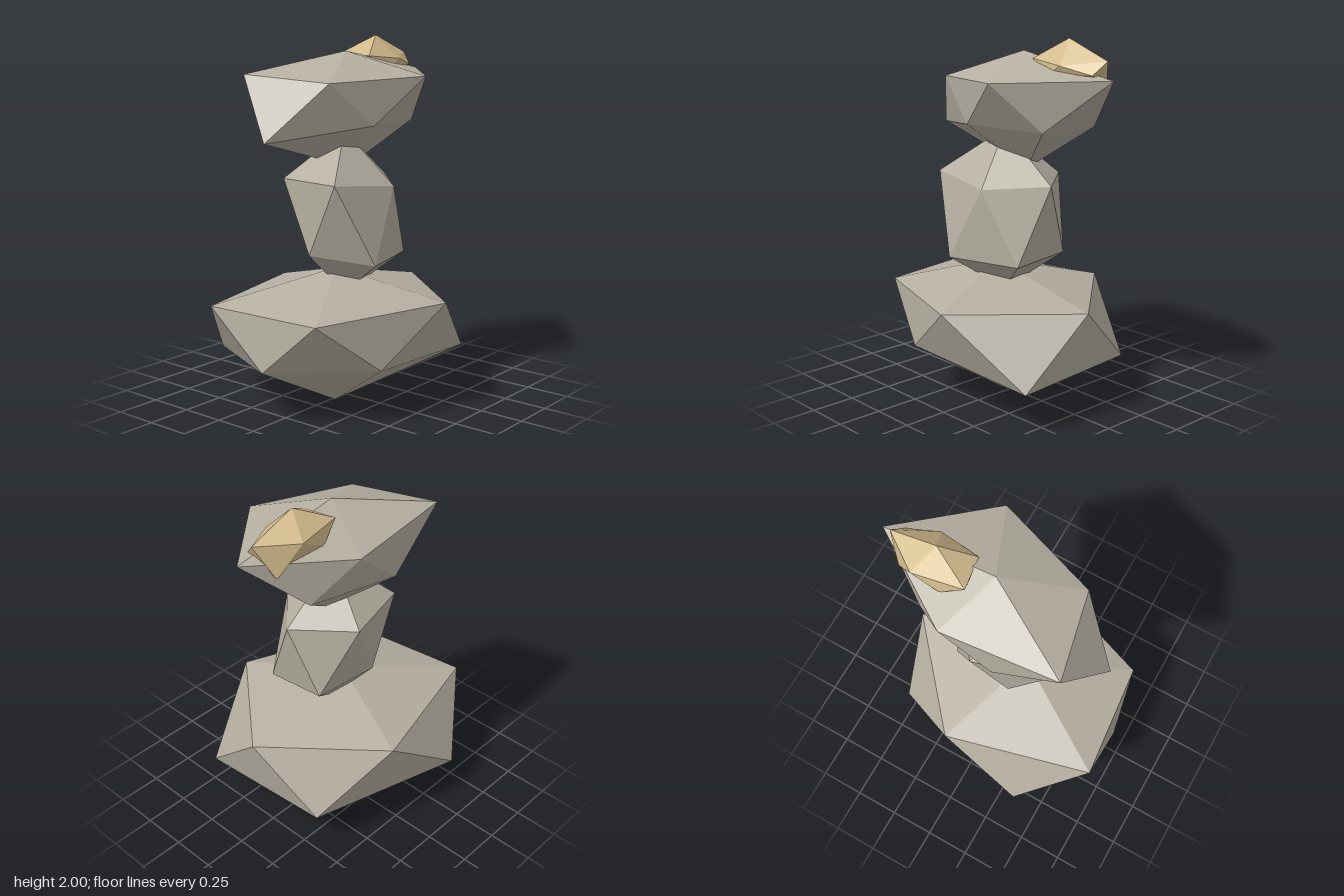
import * as THREE from 'three';

// Rough stone: a top point, two staggered rings of five corners, and a bottom point.
// Rings run from +x towards +z; each lower corner sits between two upper ones.
function stone(name, material, top, upper, lower, bottom) {
  const pos = [];
  const face = (...corners) => corners.forEach((c) => pos.push(...c));
  for (let i = 0; i < 5; i++) {
    const j = (i + 1) % 5;
    face(top, upper[j], upper[i]);
    face(upper[i], upper[j], lower[i]);
    face(lower[i], upper[j], lower[j]);
    face(bottom, lower[i], lower[j]);
  }
  const geometry = new THREE.BufferGeometry();
  geometry.setAttribute('position', new THREE.Float32BufferAttribute(pos, 3));
  geometry.computeVertexNormals();
  const mesh = new THREE.Mesh(geometry, material);
  mesh.name = name;
  return mesh;
}

export function createModel() {
  const group = new THREE.Group();
  group.name = 'stackedStones';

  const grey = new THREE.MeshStandardMaterial({ color: 0xb5afa1, flatShading: true });
  grey.name = 'warm grey stone';
  const sand = new THREE.MeshStandardMaterial({ color: 0xd2bb8c, flatShading: true });
  sand.name = 'sandy stone';

  // Wide base stone
  group.add(stone('baseStone', grey,
    [-0.10, 0.755, 0.02],
    [[0.61, 0.60, 0.02], [0.115, 0.605, 0.60], [-0.64, 0.585, 0.33], [-0.705, 0.60, -0.34], [0.115, 0.60, -0.555]],
    [[0.555, 0.24, 0.415], [-0.28, 0.30, 0.47], [-0.70, 0.30, 0.02], [-0.36, 0.25, -0.605], [0.51, 0.25, -0.36]],
    [-0.11, 0, 0.02]));

  // Upright middle stone
  group.add(stone('middleStone', grey,
    [-0.03, 1.50, 0.02],
    [[0.33, 1.23, 0.02], [0.07, 1.21, 0.28], [-0.35, 1.25, 0.215], [-0.30, 1.25, -0.18], [0.09, 1.235, -0.275]],
    [[0.27, 0.81, 0.205], [-0.145, 0.81, 0.325], [-0.325, 0.855, 0.02], [-0.10, 0.86, -0.205], [0.26, 0.835, -0.145]],
    [-0.03, 0.60, 0.02]));

  // Wide leaning top stone
  group.add(stone('topStone', grey,
    [0.055, 1.92, -0.04],
    [[0.70, 1.81, -0.04], [0.23, 1.79, 0.37], [-0.34, 1.77, 0.175], [-0.45, 1.805, -0.32], [0.195, 1.765, -0.37]],
    [[0.40, 1.535, 0.155], [-0.07, 1.54, 0.255], [-0.60, 1.47, -0.04], [-0.09, 1.53, -0.355], [0.40, 1.53, -0.225]],
    [0.08, 1.285, -0.04]));

  // Small sandy pebble resting near the tip
  group.add(stone('smallPebble', sand,
    [0.36, 2.0, -0.07],
    [[0.63, 1.90, -0.07], [0.415, 1.87, 0.055], [0.185, 1.89, 0.02], [0.155, 1.90, -0.165], [0.43, 1.89, -0.213]],
    [[0.59, 1.83, 0.0], [0.32, 1.81, 0.05], [0.18, 1.85, -0.05], [0.28, 1.81, -0.205], [0.55, 1.72, -0.15]],
    [0.37, 1.76, -0.07]));

  return group;
}
